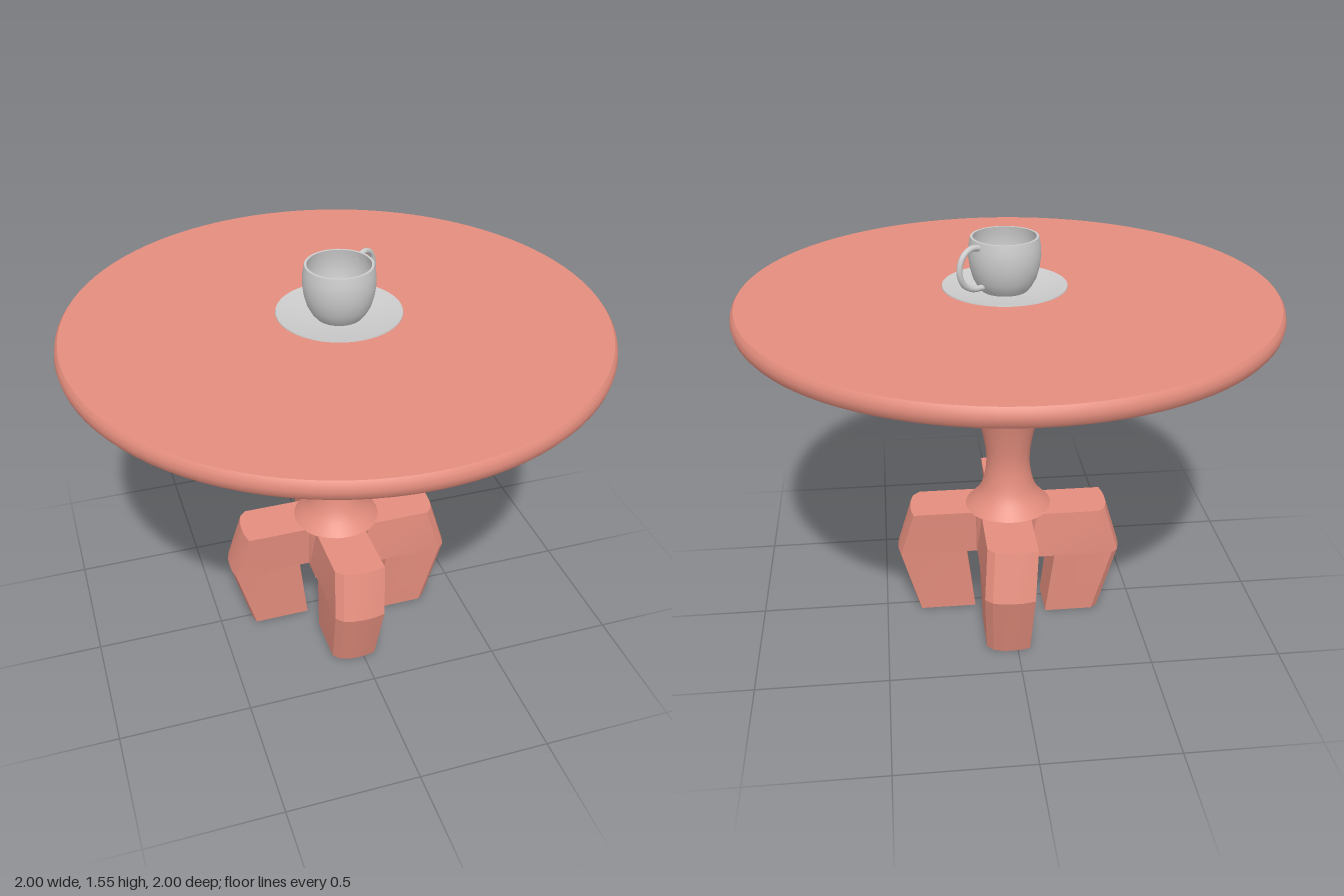
import * as THREE from 'three';
import { toCreasedNormals } from 'three/addons/utils/BufferGeometryUtils.js';

const wood = new THREE.MeshStandardMaterial({ color: 0xe38d7d });
const china = new THREE.MeshStandardMaterial({ color: 0xcccccc, side: THREE.DoubleSide });

function addMesh(parent, name, geometry, material) {
  const mesh = new THREE.Mesh(geometry, material);
  mesh.name = name;
  parent.add(mesh);
  return mesh;
}

// Turned part from [radius, height] pairs; smooth profiles are run through a spline
function turned(pairs, segments, smooth = 0) {
  let pts = pairs.map(([r, y]) => new THREE.Vector2(r, y));
  if (smooth) pts = new THREE.SplineCurve(pts).getPoints(smooth);
  return toCreasedNormals(new THREE.LatheGeometry(pts, segments), 0.6);
}

// Closed body through rings of equal point count, listed from bottom to top
function loft(rings) {
  const pos = [];
  const tri = (a, b, c) => {
    if (a.equals(b) || b.equals(c) || a.equals(c)) return;
    for (const p of [a, b, c]) pos.push(p.x, p.y, p.z);
  };
  const n = rings[0].length;
  for (let i = 0; i < rings.length - 1; i++) {
    const lo = rings[i], up = rings[i + 1];
    for (let j = 0; j < n; j++) {
      const k = (j + 1) % n;
      tri(lo[j], lo[k], up[k]);
      tri(lo[j], up[k], up[j]);
    }
  }
  const first = rings[0], last = rings[rings.length - 1];
  for (let j = 1; j < n - 1; j++) {
    tri(first[0], first[j + 1], first[j]);
    tri(last[0], last[j], last[j + 1]);
  }
  const geo = new THREE.BufferGeometry();
  geo.setAttribute('position', new THREE.Float32BufferAttribute(pos, 3));
  geo.computeVertexNormals();
  return toCreasedNormals(geo, 0.35);
}

// Plan of a leg at height y: bowed outer end at reach, straight inner end
function legRing(y, x0, x1, reach, inner) {
  const bow = [[0, 0.04], [0.14, 0.014], [0.35, 0.003], [0.55, 0], [0.75, 0.001], [1, 0.01]];
  const ring = bow.map(([t, d]) => new THREE.Vector3(x0 + (x1 - x0) * t, y, reach - d));
  ring.push(new THREE.Vector3(x1, y, inner), new THREE.Vector3(x0, y, inner));
  return ring;
}

export function createModel() {
  const model = new THREE.Group();
  model.name = 'pedestalTable';

  // Tabletop with a rounded rim
  addMesh(model, 'tabletop', turned([
    [0, 1.27], [0.985, 1.27], [0.995, 1.283], [1, 1.305], [0.995, 1.327], [0.985, 1.34], [0, 1.34],
  ], 96), wood);

  // Vase-shaped column with a flared foot
  addMesh(model, 'column', turned([
    [0.17, 0.455], [0.115, 0.52], [0.09, 0.6], [0.086, 0.68], [0.102, 0.78], [0.132, 0.9],
    [0.154, 1.0], [0.157, 1.08], [0.143, 1.16], [0.115, 1.225], [0.075, 1.272],
  ], 48, 40), wood);

  // Hub joining the legs
  const hub = addMesh(model, 'hub', new THREE.CylinderGeometry(0.155, 0.145, 0.183, 32), wood);
  hub.position.y = 0.364;

  // Four chunky legs, each set slightly off its axis
  const legGeo = loft([
    legRing(0, -0.118, 0.048, 0.37, 0.14),
    legRing(0.27, -0.13, 0.058, 0.445, 0.172),
    legRing(0.27, -0.13, 0.058, 0.445, -0.02),
    legRing(0.457, -0.115, 0.075, 0.39, -0.02),
  ]);
  for (let i = 0; i < 4; i++) {
    addMesh(model, 'leg' + (i + 1), legGeo, wood).rotation.y = i * Math.PI / 2;
  }

  // Cup and saucer
  const service = new THREE.Group();
  service.name = 'cupAndSaucer';
  service.position.set(0.012, 0, 0);
  model.add(service);

  addMesh(service, 'saucer', turned([
    [0, 1.341], [0.12, 1.341], [0.23, 1.367], [0.229, 1.371], [0.13, 1.353], [0, 1.351],
  ], 64), china);

  addMesh(service, 'cup', turned([
    [0, 1.352], [0.085, 1.352], [0.1, 1.37], [0.116, 1.4], [0.127, 1.44], [0.132, 1.48],
    [0.13, 1.52], [0.124, 1.552], [0.115, 1.552], [0.121, 1.52], [0.122, 1.48],
    [0.117, 1.44], [0.105, 1.4], [0.09, 1.375], [0, 1.37],
  ], 48), china);

  // Looped handle
  const path = new THREE.CatmullRomCurve3([
    [0.118, 1.532], [0.165, 1.538], [0.203, 1.515], [0.219, 1.465], [0.202, 1.418], [0.16, 1.39], [0.108, 1.384],
  ].map(([x, y]) => new THREE.Vector3(x, y, 0)));
  const handle = addMesh(service, 'cupHandle', new THREE.TubeGeometry(path, 32, 0.011, 10), china);
  handle.rotation.y = 0.66;

  return model;
}
